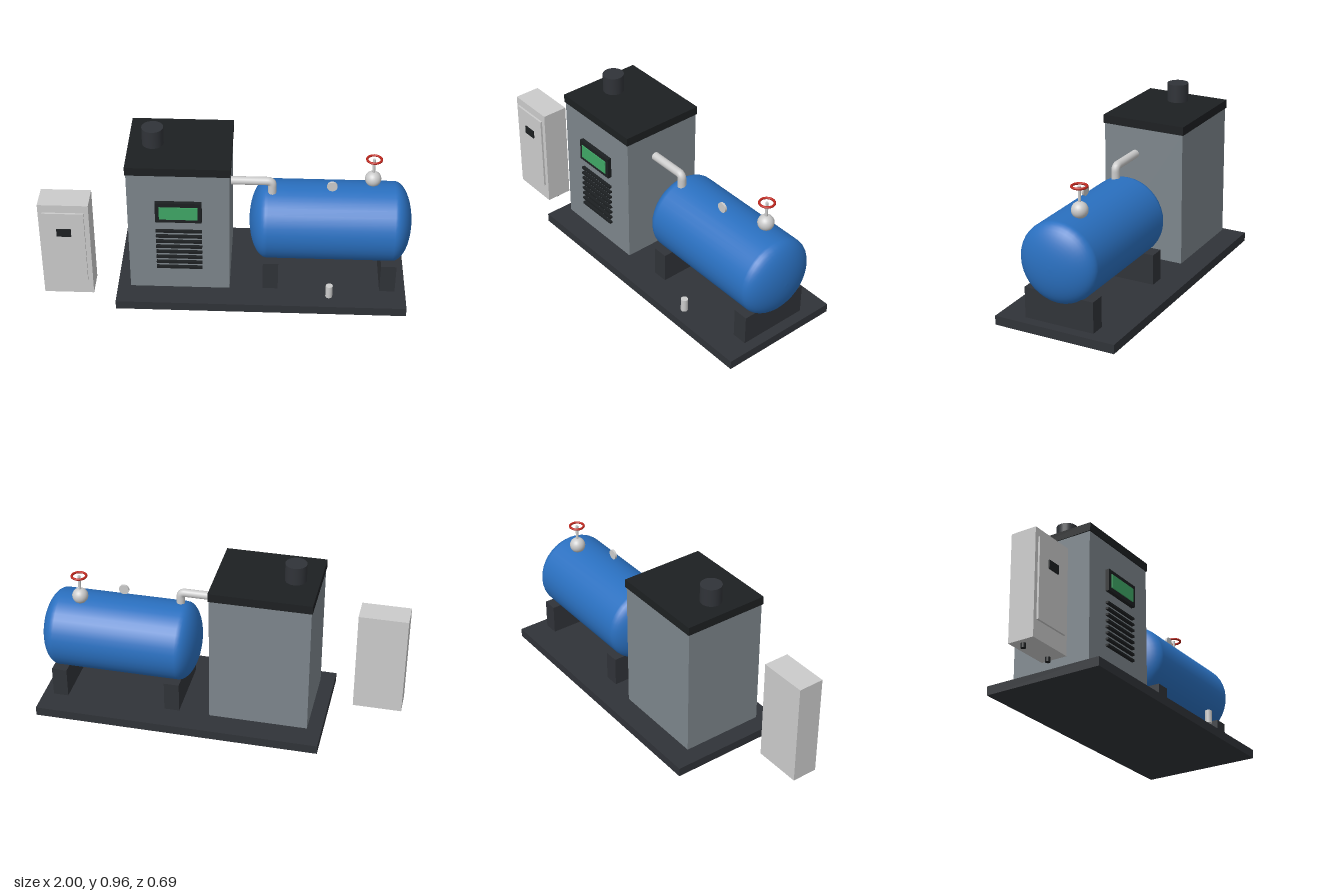
import * as THREE from 'three';

const mat = (color) => new THREE.MeshStandardMaterial({ color });
const grey = mat(0xcccccc), dark = mat(0x303338), black = mat(0x1d2022);
const steel = mat(0x7d868c), blue = mat(0x2a70c0), red = mat(0xc0281f), green = mat(0x3fa866);

export function createModel() {
  const root = new THREE.Group();

  const add = (name, geometry, material, x = 0, y = 0, z = 0) => {
    const mesh = new THREE.Mesh(geometry, material);
    mesh.name = name;
    mesh.position.set(x, y, z);
    root.add(mesh);
    return mesh;
  };
  // Box given by its limits on each axis
  const box = (name, material, [x0, x1], [y0, y1], [z0, z1]) =>
    add(name, new THREE.BoxGeometry(x1 - x0, y1 - y0, z1 - z0), material,
      (x0 + x1) / 2, (y0 + y1) / 2, (z0 + z1) / 2);
  // Upright cylinder from y0 to y1
  const post = (name, material, r, x, z, y0, y1) =>
    add(name, new THREE.CylinderGeometry(r, r, y1 - y0, 24), material, x, (y0 + y1) / 2, z);

  // Skid base
  box('base', dark, [-0.6, 0.975], [0, 0.05], [-0.343, 0.343]);

  // Compressor cabinet with roof and exhaust
  box('compressorCabinet', steel, [-0.525, 0.015], [0.075, 0.815], [-0.233, 0.233]);
  box('cabinetRoof', black, [-0.53, 0.02], [0.813, 0.86], [-0.239, 0.239]);
  post('exhaust', dark, 0.058, -0.4, 0, 0.86, 0.96);

  // Control panel and ventilation slats
  box('controlPanel', black, [-0.377, -0.131], [0.528, 0.652], [0.233, 0.255]);
  box('screen', green, [-0.356, -0.152], [0.55, 0.627], [0.25, 0.26]);
  for (let i = 0; i < 8; i++) {
    const y = 0.221 + i * 0.0344;
    box('ventSlat', black, [-0.377, -0.131], [y - 0.006, y + 0.006], [0.232, 0.25]);
  }

  // Air tank: cylinder with elliptical ends, lying along x
  const profile = [];
  const steps = 12, radius = 0.218, cap = 0.1, half = 0.34;
  for (const side of [-1, 1]) {
    for (let i = 0; i <= steps; i++) {
      const a = (side < 0 ? i : steps - i) / steps * Math.PI / 2;
      profile.push(new THREE.Vector2(Math.sin(a) * radius, side * (half + Math.cos(a) * cap)));
    }
  }
  const tank = add('tank', new THREE.LatheGeometry(profile, 36), blue, 0.555, 0.386, 0);
  tank.rotation.z = -Math.PI / 2;

  // Tank saddles
  for (const x of [0.236, 0.876]) {
    box('saddle', dark, [x - 0.042, x + 0.042], [0.05, 0.22], [-0.197, 0.197]);
  }

  // Elbow pipe from cabinet to tank
  const v = (x, y) => new THREE.Vector3(x, y, 0.048);
  const path = new THREE.CurvePath();
  path.add(new THREE.LineCurve3(v(0.01, 0.665), v(0.21, 0.665)));
  path.add(new THREE.QuadraticBezierCurve3(v(0.21, 0.665), v(0.236, 0.665), v(0.236, 0.639)));
  path.add(new THREE.LineCurve3(v(0.236, 0.639), v(0.236, 0.585)));
  const pipe = add('elbowPipe', new THREE.TubeGeometry(path, 48, 0.023, 16), grey.clone());
  pipe.material.side = THREE.DoubleSide;

  // Pressure gauge disc
  const gauge = post('gauge', grey, 0.028, 0.555, 0.048, 0.634, 0.646);
  gauge.rotation.x = Math.PI / 2;

  // Valve with handwheel
  add('valveBody', new THREE.SphereGeometry(0.044, 24, 16), grey, 0.776, 0.63, -0.048);
  post('valveStem', grey, 0.008, 0.776, -0.048, 0.63, 0.755);
  const wheel = add('handwheel', new THREE.TorusGeometry(0.039, 0.0065, 10, 32), red, 0.776, 0.754, -0.048);
  wheel.rotation.x = Math.PI / 2;

  // Drain outlet
  post('drain', grey, 0.019, 0.555, 0.295, 0.087, 0.16);

  // Separate dryer cabinet
  box('dryerCabinet', grey, [-1, -0.73], [0.025, 0.612], [0.097, 0.243]);
  box('dryerDoor', grey, [-0.978, -0.756], [0.122, 0.565], [0.24, 0.254]);
  box('dryerDisplay', black, [-0.905, -0.828], [0.42, 0.467], [0.25, 0.261]);
  for (const x of [-0.964, -0.768]) post('dryerFoot', black, 0.013, x, 0.16, 0, 0.03);

  return root;
}
